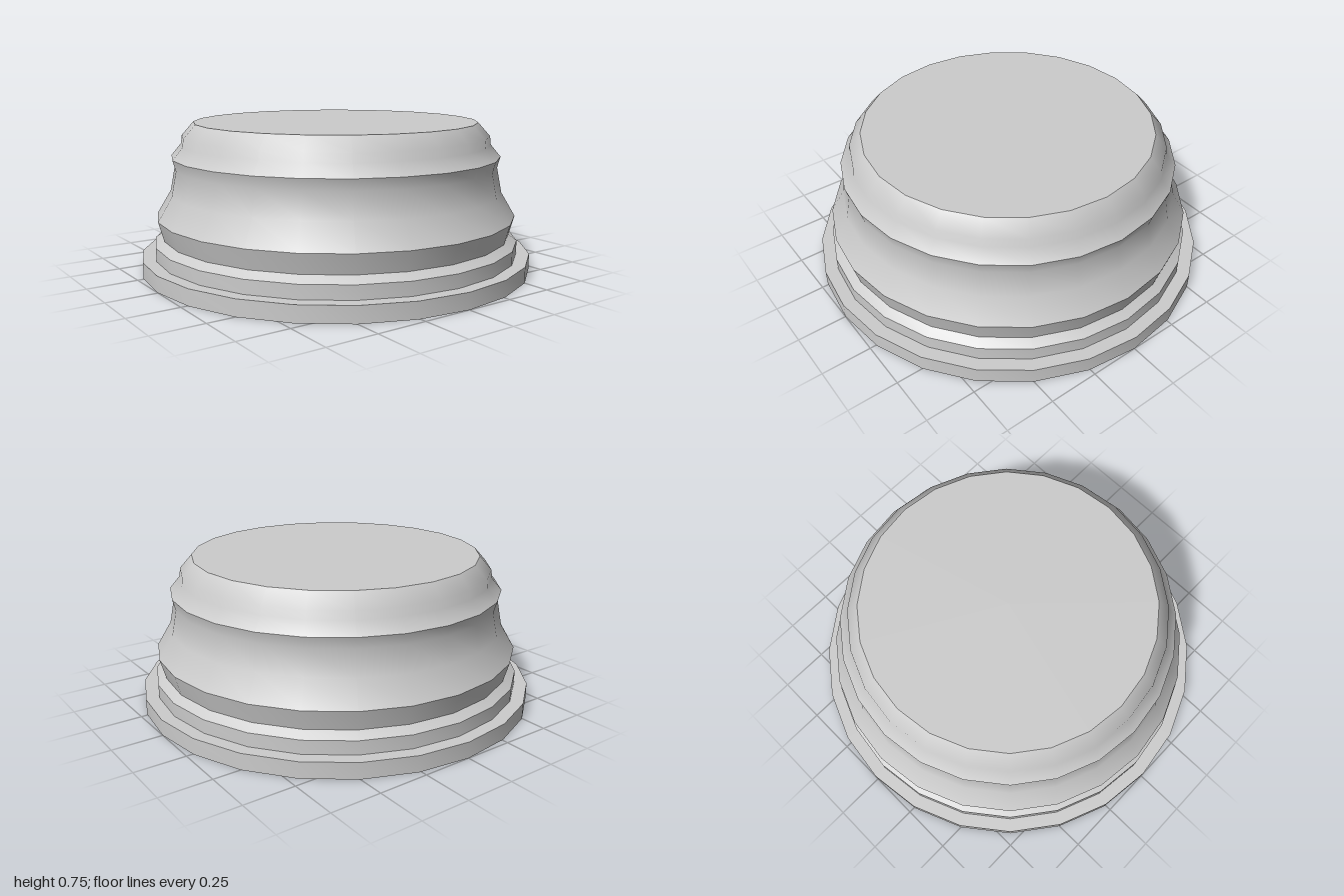
import * as THREE from 'three';
import { toCreasedNormals } from 'three/addons/utils/BufferGeometryUtils.js';

const SIDES = 24;
const CREASE = 0.66; // keeps moulding edges sharp, rounds the sides

export function createModel() {
  const group = new THREE.Group();
  group.name = 'mouldedPedestal';
  const material = new THREE.MeshStandardMaterial({ color: 0xcccccc });

  // Closed outline as [radius, height], from the centre of the underside to the centre of the top
  const profile = [
    [0, 0], [1, 0], [1, 0.08],             // foot plate
    [0.935, 0.08], [0.935, 0.147],         // lower step
    [0.893, 0.177], [0.92, 0.275],         // chamfer and lower flare
    [0.85, 0.393], [0.825, 0.52],          // concave waist
    [0.84, 0.575],                         // upper flare
    [0.79, 0.635], [0.785, 0.677],         // neck
    [0.725, 0.745], [0, 0.745],            // bevelled rim and flat top
  ].map(([r, y]) => new THREE.Vector2(r, y));

  const geometry = toCreasedNormals(new THREE.LatheGeometry(profile, SIDES), CREASE);
  const pedestal = new THREE.Mesh(geometry, material);
  pedestal.name = 'pedestalBody';
  group.add(pedestal);
  return group;
}
